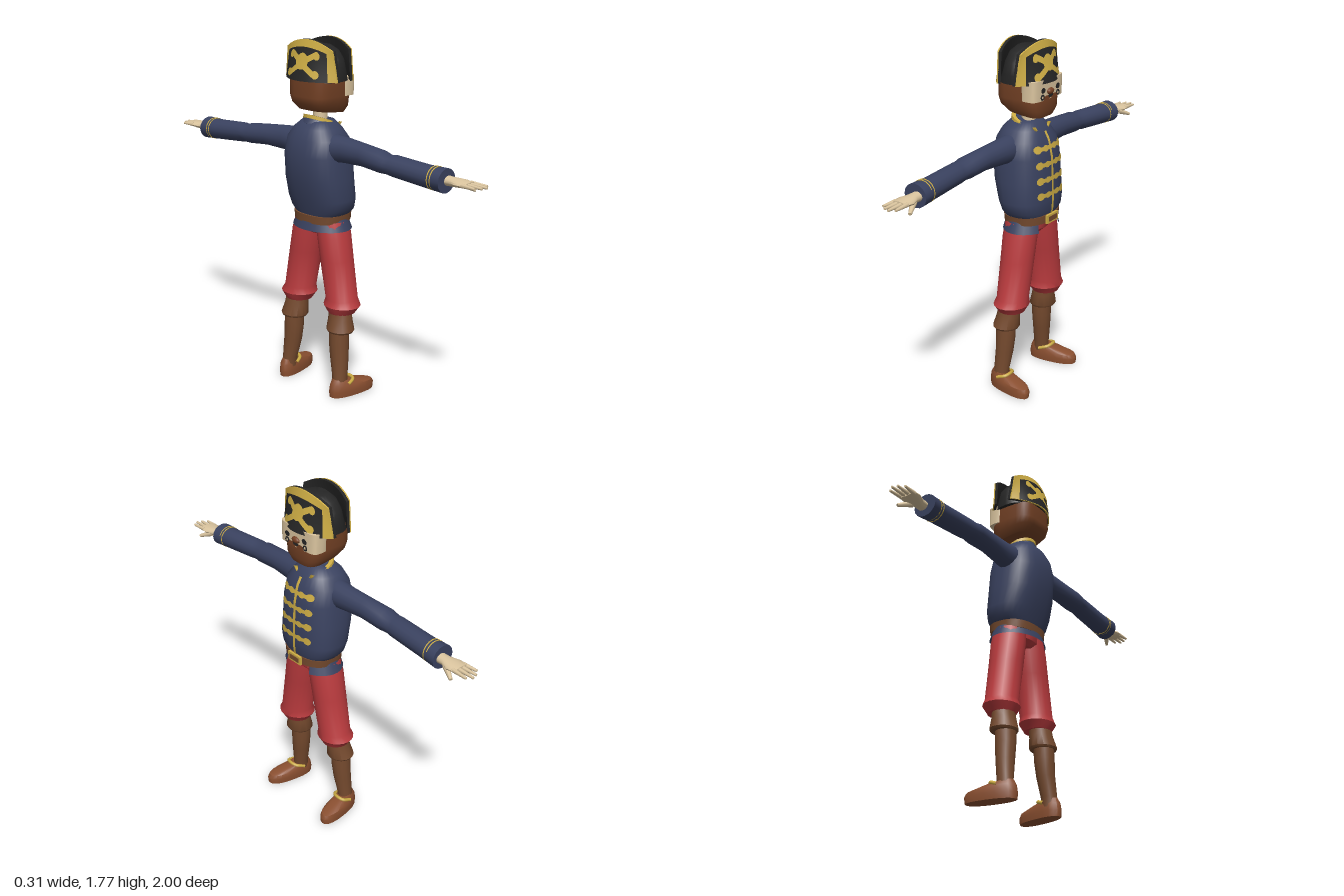
import * as THREE from 'three';
import { toCreasedNormals } from 'three/addons/utils/BufferGeometryUtils.js';

const mat = (name, color, side = THREE.FrontSide) => {
  const m = new THREE.MeshStandardMaterial({ color, side });
  m.name = name;
  return m;
};

// Rounded cross-section point; p = 2 is an ellipse, higher is boxier
const rounded = (c, p) => Math.sign(c) * Math.pow(Math.abs(c), 2 / p);

// Capped skin over rings [t, a, b, ra, rb, tilt]. Axis y: centre (a, t, b); axis z: centre (a, b, t)
function loft(rings, { axis = 'y', n = 20, p = 2, s = 1, crease = 0.7 } = {}) {
  const pos = [], idx = [];
  const put = (t, a, b) => (axis === 'y' ? pos.push(a, t, b * s) : pos.push(a, b, t * s));
  for (const [t, a, b, ra, rb, tilt = 0] of rings) {
    for (let i = 0; i < n; i++) {
      const th = (i / n) * Math.PI * 2;
      const da = ra * rounded(Math.cos(th), p), db = rb * rounded(Math.sin(th), p);
      put(t + tilt * da, a + da, b + db);
    }
  }
  const ends = [rings[0], rings[rings.length - 1]];
  ends.forEach(([t, a, b]) => put(t, a, b));
  const bottom = rings.length * n, top = bottom + 1, last = bottom - n;
  for (let i = 0; i < n; i++) {
    const j = (i + 1) % n;
    for (let r = 0; r < rings.length - 1; r++) {
      const k = r * n;
      idx.push(k + i, k + n + i, k + j, k + j, k + n + i, k + n + j);
    }
    idx.push(bottom, i, j, top, last + j, last + i);
  }
  // Turn the faces outward by the sign of the enclosed volume
  const v = (i) => new THREE.Vector3().fromArray(pos, i * 3);
  let volume = 0;
  for (let i = 0; i < idx.length; i += 3) volume += v(idx[i]).dot(v(idx[i + 1]).cross(v(idx[i + 2])));
  if (volume < 0) idx.reverse();
  const g = new THREE.BufferGeometry();
  g.setAttribute('position', new THREE.Float32BufferAttribute(pos, 3));
  g.setIndex(idx);
  return toCreasedNormals(g, crease);
}

// Move every vertex by a rule
function warp(geo, rule) {
  const a = geo.attributes.position;
  for (let i = 0; i < a.count; i++) a.setXYZ(i, ...rule(a.getX(i), a.getY(i), a.getZ(i)));
  return toCreasedNormals(geo, 0.7);
}

// Tapered round rod between two points
function rod(from, to, r0, r1) {
  const a = new THREE.Vector3(...from), b = new THREE.Vector3(...to), d = b.clone().sub(a);
  const g = new THREE.CylinderGeometry(r1, r0, d.length(), 8);
  g.applyQuaternion(new THREE.Quaternion().setFromUnitVectors(new THREE.Vector3(0, 1, 0), d.normalize()));
  return g.translate(...a.add(b).multiplyScalar(0.5).toArray());
}

// Jacket outline: height, back x, front x, half width
const JACKET = [
  [0.92, -0.09, 0.125, 0.14], [0.95, -0.1, 0.135, 0.166], [1.0, -0.115, 0.138, 0.178],
  [1.1, -0.143, 0.136, 0.172], [1.22, -0.155, 0.13, 0.166], [1.3, -0.14, 0.113, 0.152],
  [1.35, -0.115, 0.085, 0.115], [1.385, -0.08, 0.055, 0.075],
];
const JP = 2.5;

// Front surface of the jacket at (y, z)
function chestX(y, z) {
  let i = 0;
  while (i < JACKET.length - 2 && y > JACKET[i + 1][0]) i++;
  const f = (y - JACKET[i][0]) / (JACKET[i + 1][0] - JACKET[i][0]);
  const [, b, x, w] = JACKET[i].map((v, k) => v + f * (JACKET[i + 1][k] - v));
  const q = Math.max(0, 1 - Math.pow(Math.abs(z) / w, JP));
  return (b + x) / 2 + ((x - b) / 2) * Math.pow(q, 1 / JP);
}

export function createModel() {
  const model = new THREE.Group();
  const blue = mat('navy cloth', 0x3a4260, THREE.DoubleSide);
  const red = mat('red cloth', 0xb83a3d);
  const gold = mat('gold trim', 0xcfae45);
  const black = mat('black felt', 0x262626);
  const skin = mat('skin', 0xdcc6a0);
  const hair = mat('brown hair', 0x774326);
  const leather = mat('boot leather', 0x754a2e);
  const shoe = mat('shoe leather', 0x8a4f30);
  const add = (name, geo, material, parent = model) => {
    const m = new THREE.Mesh(geo, material);
    m.name = name;
    parent.add(m);
    return m;
  };

  // Jacket, tails, belt and hips
  add('jacket', loft(JACKET.map(([y, b, f, w]) => [y, (b + f) / 2, 0, (f - b) / 2, w]), { p: JP, n: 32, crease: 0.9 }), blue);
  const tails = new THREE.CylinderGeometry(1, 1.15, 0.055, 28, 1, true, Math.PI / 2 + 0.55, Math.PI * 2 - 1.1);
  add('jacketTails', tails.scale(0.108, 1, 0.143).translate(0.015, 0.873, 0), blue);
  add('belt', loft([[0.885, 0.018, 0, 0.115, 0.141, 0.04], [0.925, 0.018, 0, 0.117, 0.145, 0.04]], { p: JP, n: 28 }), leather);
  add('buckle', new THREE.BoxGeometry(0.012, 0.044, 0.09).translate(0.137, 0.908, 0), gold);
  add('buckleCentre', new THREE.BoxGeometry(0.006, 0.024, 0.066).translate(0.143, 0.908, 0), leather);
  add('hips', loft([[0.82, 0.008, 0, 0.06, 0.06], [0.845, 0.01, 0, 0.085, 0.12], [0.9, 0.012, 0, 0.09, 0.13]]), red);

  // Gold braid laid over the chest
  const braid = (name, geo) => add(name, warp(geo, (u, v) => [chestX(v, u) + 0.005, v, -u]), gold);
  braid('frontSeam', new THREE.PlaneGeometry(0.016, 0.41, 2, 24).translate(0, 1.135, 0));
  for (const y of [1.267, 1.19, 1.113, 1.037]) {
    braid('braidBar', new THREE.PlaneGeometry(0.17, 0.02, 16, 2).translate(0, y, 0));
    for (const s of [-1, 1]) {
      braid('braidKnob', new THREE.CircleGeometry(0.02, 12).scale(1.1, 0.95, 1).translate(s * 0.085, y, 0));
      braid('braidLoop', new THREE.CircleGeometry(0.016, 10).scale(1.3, 1, 1).translate(s * 0.035, y, 0));
    }
  }

  // Collar sloping down to the front, with gold edging
  const collar = (t, grow) => [t, -0.003, 0, 0.075 + grow, 0.076 + grow, -0.38];
  add('collar', loft([collar(1.34, 0.015), collar(1.375, 0)], { n: 20 }), blue);
  add('collarTrim', loft([collar(1.368, 0.006), collar(1.386, 0.004), collar(1.386, -0.016), collar(1.372, -0.018)], { n: 20 }), gold);
  add('collarLining', loft([collar(1.37, -0.015), collar(1.388, -0.017)], { n: 20 }), blue);
  const point = new THREE.TorusGeometry(0.05, 0.008, 6, 4, Math.PI).rotateZ(Math.PI).rotateY(Math.PI / 2);
  add('collarPoint', point.scale(1, 0.7, 1.3).translate(0.075, 1.37, 0), gold);

  // Head: neck, beard and hair, face
  add('neck', loft([[1.34, 0, 0, 0.036, 0.036], [1.46, 0, 0, 0.034, 0.034]]), skin);
  add('hairAndBeard', loft([
    [1.425, 0.01, 0, 0.095, 0.088, -0.12], [1.46, 0, 0, 0.119, 0.112, -0.1],
    [1.505, -0.004, 0, 0.122, 0.122], [1.6, -0.006, 0, 0.12, 0.122]], { p: 3.5, n: 28 }), hair);
  add('face', loft([[1.503, 0.075, 0, 0.047, 0.124], [1.6, 0.075, 0, 0.047, 0.126]], { p: 4.5, n: 28 }), skin);
  const disc = (name, r, sy, y, z, material, x = 0.1245) =>
    add(name, new THREE.CircleGeometry(r, 14).scale(1, sy, 1).rotateY(Math.PI / 2).translate(x, y, z), material);
  for (const s of [-1, 1]) {
    disc('eye', 0.017, 0.8, 1.552, s * 0.06, black);
    disc('moustache', 0.032, 0.35, 1.513, s * 0.03, hair);
    add('moustacheCurl', new THREE.TorusGeometry(0.011, 0.004, 5, 10).rotateY(Math.PI / 2).translate(0.122, 1.52, s * 0.063), black);
  }
  disc('mouth', 0.02, 0.45, 1.52, 0, black, 0.1255);
  add('nose', new THREE.SphereGeometry(0.02, 12, 8).scale(0.7, 0.8, 1.3).translate(0.123, 1.54, 0), hair);

  // Hat crown
  add('hatCrown', loft([
    [1.578, -0.006, 0, 0.115, 0.142], [1.62, -0.005, 0, 0.095, 0.142], [1.68, -0.004, 0, 0.08, 0.132],
    [1.72, -0.004, 0, 0.068, 0.1], [1.742, -0.004, 0, 0.045, 0.055]], { n: 28, p: 2.4 }), black);

  // Upturned brim: u runs across, v upward, w is depth
  const brim = (u, v, w) => [
    0.125 - 0.08 * u * u - 0.05 * v + 0.06 * u * u * v + w,
    1.583 + v * (0.19 - 0.045 * u * u),
    -u * (0.17 - 0.022 * v)];
  for (const turn of [0, Math.PI]) {
    const flap = new THREE.Group();
    flap.name = turn ? 'backBrim' : 'frontBrim';
    flap.rotation.y = turn;
    flap.position.x = turn ? -0.012 : 0;
    model.add(flap);
    const on = (name, geo, material) => add(name, warp(geo, brim), material, flap);
    on('brimFelt', new THREE.BoxGeometry(2, 1, 0.016, 20, 6, 1).translate(0, 0.5, -0.01), black);
    on('brimEdge', new THREE.BoxGeometry(2, 1, 0.008, 20, 6, 1).translate(0, 0.5, 0.001), gold);
    on('brimPanel', new THREE.PlaneGeometry(1.62, 0.82, 20, 6).translate(0, 0.41, 0.008), black);
    // Crossed bones and skull
    for (const s of [-1, 1]) {
      on('bone', new THREE.PlaneGeometry(1.02, 0.15, 12, 2).rotateZ(s * 0.5).translate(0, 0.43, 0.011), gold);
      for (const e of [-1, 1]) {
        on('boneEnd', new THREE.CircleGeometry(0.11, 10).translate(s * 0.5, 0.43 + e * 0.24, 0.012), gold);
      }
    }
    on('skull', new THREE.CircleGeometry(0.24, 16).scale(1, 0.85, 1).translate(0, 0.48, 0.012), gold);
  }

  for (const s of [-1, 1]) {
    // Sleeve, cuff bands and hand
    const arm = new THREE.Group();
    arm.name = s > 0 ? 'rightArm' : 'leftArm';
    model.add(arm);
    const along = { axis: 'z', s, n: 16 };
    add('sleeve', loft([
      [0.08, -0.025, 1.262, 0.07, 0.072], [0.2, -0.025, 1.264, 0.054, 0.062], [0.32, -0.033, 1.262, 0.051, 0.054],
      [0.44, -0.04, 1.252, 0.058, 0.052], [0.48, -0.042, 1.247, 0.053, 0.045], [0.51, -0.04, 1.246, 0.053, 0.05],
      [0.7, -0.036, 1.232, 0.055, 0.052], [0.8, -0.033, 1.228, 0.061, 0.056]], along), blue, arm);
    for (const z of [0.732, 0.748]) {
      add('cuffBand', loft([[z, -0.035, 1.231, 0.058, 0.055], [z + 0.005, -0.035, 1.231, 0.058, 0.055]], along), gold, arm);
    }
    add('palm', loft([
      [0.78, -0.022, 1.228, 0.028, 0.024], [0.83, -0.022, 1.228, 0.03, 0.021],
      [0.875, -0.022, 1.229, 0.047, 0.017], [0.92, -0.023, 1.23, 0.042, 0.012]], along), skin, arm);
    [0.972, 0.992, 1.0, 0.982].forEach((tip, i) => {
      const o = i - 1.5;
      add('finger', rod([-0.023 + o * 0.022, 1.23, s * 0.9], [-0.023 + o * 0.026, 1.229, s * tip], 0.011, 0.006), skin, arm);
    });
    add('thumb', rod([0.0, 1.222, s * 0.85], [0.032, 1.195, s * 0.912], 0.016, 0.008), skin, arm);

    // Trouser leg, boot and shoe
    const leg = new THREE.Group();
    leg.name = s > 0 ? 'rightLeg' : 'leftLeg';
    model.add(leg);
    add('trouserLeg', loft([
      [0.43, 0, 0.15, 0.068, 0.068], [0.445, 0, 0.15, 0.076, 0.078], [0.468, 0.002, 0.15, 0.088, 0.096],
      [0.5, 0.005, 0.145, 0.08, 0.081], [0.7, 0.008, 0.107, 0.084, 0.084], [0.82, 0.01, 0.086, 0.088, 0.082],
      [0.89, 0.012, 0.072, 0.085, 0.075]], { s }), red, leg);
    add('bootCuff', loft([
      [0.335, -0.022, 0.162, 0.062, 0.066], [0.345, -0.022, 0.162, 0.067, 0.073],
      [0.4, -0.016, 0.155, 0.057, 0.063], [0.44, -0.012, 0.152, 0.054, 0.06]], { s, n: 14 }), leather, leg);
    add('bootShaft', loft([
      [0.05, -0.045, 0.183, 0.042, 0.038], [0.1, -0.042, 0.179, 0.04, 0.037], [0.2, -0.033, 0.166, 0.045, 0.048],
      [0.28, -0.03, 0.16, 0.05, 0.051], [0.36, -0.028, 0.157, 0.05, 0.05]], { s, n: 14 }), leather, leg);
    const foot = loft([
      [0, 0.022, 0.195, 0.125, 0.046], [0.03, 0.022, 0.195, 0.128, 0.049],
      [0.058, 0.02, 0.195, 0.12, 0.046, -0.08], [0.082, -0.012, 0.192, 0.075, 0.033, -0.15]], { s, p: 2.4 });
    add('shoe', warp(foot, (x, y, z) => [x, y, z + s * 0.16 * x]), shoe, leg);
    const strap = new THREE.CatmullRomCurve3([
      [-0.035, 0.068, 0.14], [0.008, 0.083, 0.158], [0.018, 0.088, 0.192], [0.008, 0.083, 0.222], [-0.035, 0.068, 0.232],
    ].map(([x, y, z]) => new THREE.Vector3(x, y, z * s)));
    add('shoeStrap', new THREE.TubeGeometry(strap, 14, 0.009, 6), gold, leg);
  }
  return model;
}
